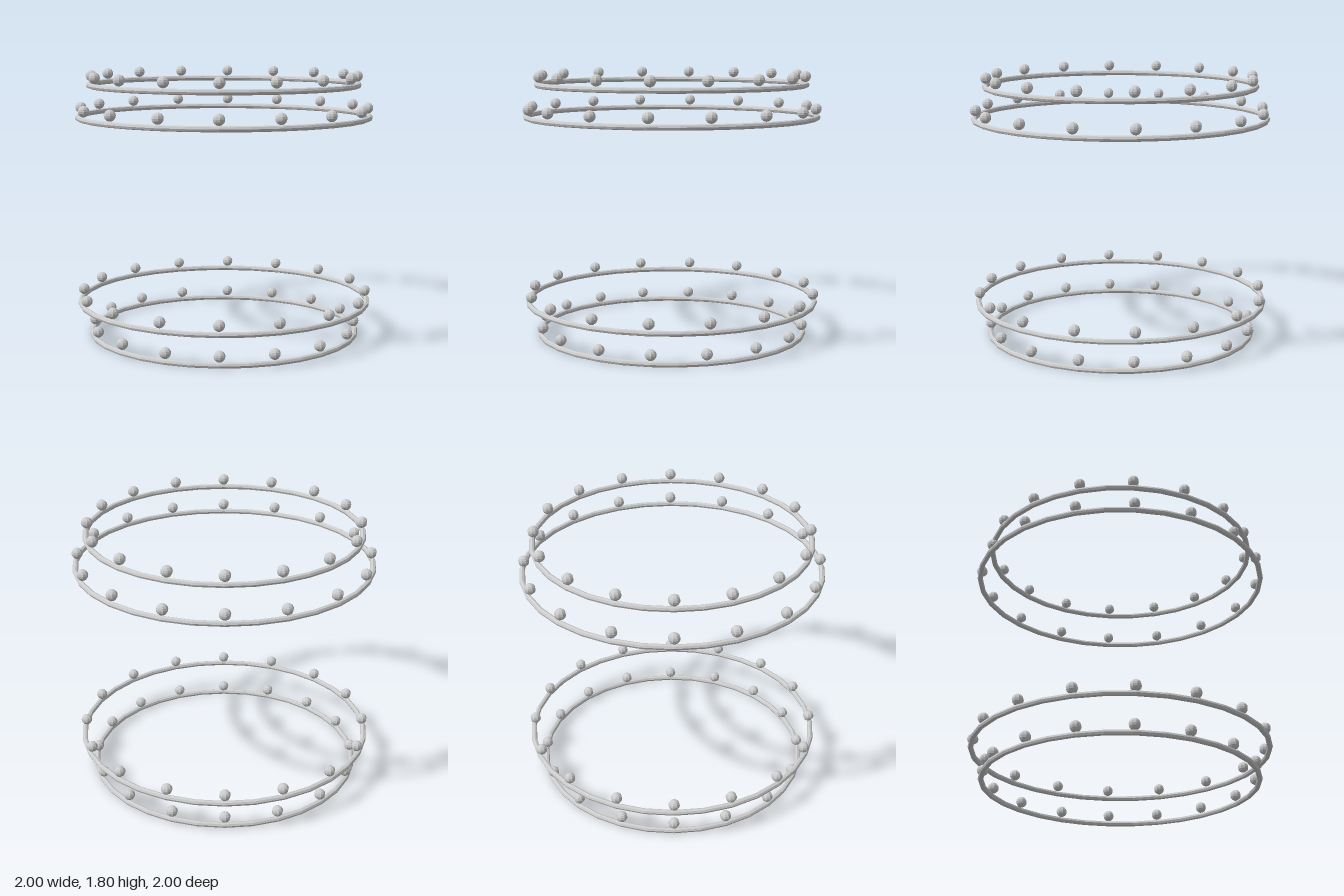
import * as THREE from 'three';

const TUBE = 0.0185, BALL = 0.0375, COUNT = 16;

export function createModel() {
  const model = new THREE.Group();
  const metal = new THREE.MeshStandardMaterial({ color: 0xcccccc, flatShading: true });
  metal.name = 'light grey metal';
  const ballGeometry = new THREE.SphereGeometry(BALL, 8, 8);

  // One hoop with evenly spaced balls resting on it
  function beadedRing(name, radius, ballRadius, y) {
    const group = new THREE.Group();
    group.name = name;
    group.position.y = y;

    const hoopGeometry = new THREE.TorusGeometry(radius, TUBE, 8, 32);
    hoopGeometry.rotateX(-Math.PI / 2);
    const hoop = new THREE.Mesh(hoopGeometry, metal);
    hoop.name = 'hoop';
    group.add(hoop);

    for (let i = 0; i < COUNT; i++) {
      const a = (i + 0.5) / COUNT * Math.PI * 2;
      const ball = new THREE.Mesh(ballGeometry, metal);
      ball.name = 'ball';
      ball.position.set(Math.cos(a) * ballRadius, TUBE + BALL, Math.sin(a) * ballRadius);
      group.add(ball);
    }
    model.add(group);
  }

  // Lower pair, then upper pair
  beadedRing('bottomInnerRing', 0.905, 0.895, 0.0185);
  beadedRing('lowerOuterRing', 0.9815, 0.969, 0.234);
  beadedRing('upperOuterRing', 0.9815, 0.969, 1.49);
  beadedRing('topInnerRing', 0.905, 0.895, 1.704);
  return model;
}
